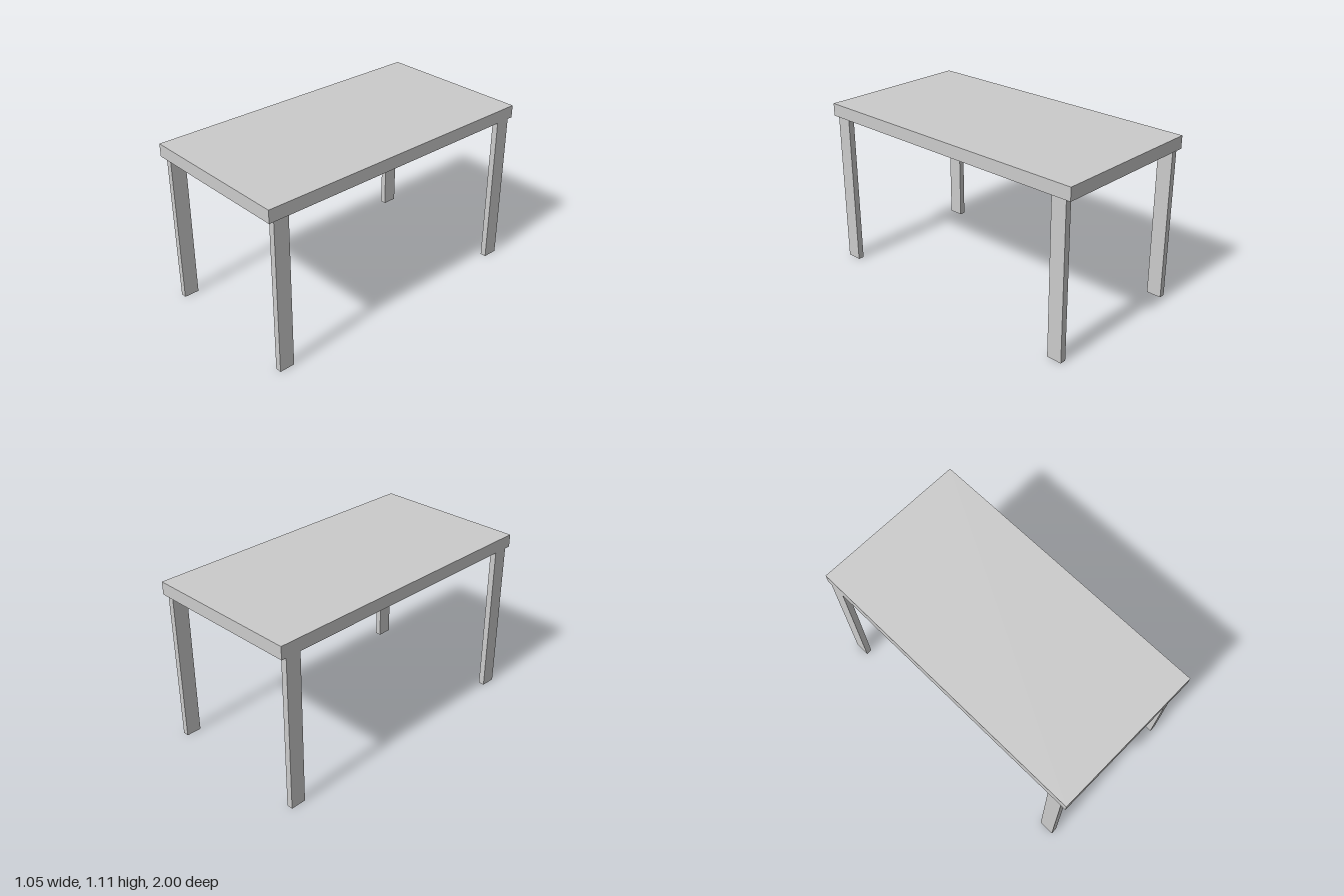
import * as THREE from 'three';

export function createModel() {
  const group = new THREE.Group();
  const material = new THREE.MeshStandardMaterial({ color: 0xcccccc, flatShading: true });

  const addBox = (name, w, h, d, x, y, z) => {
    const mesh = new THREE.Mesh(new THREE.BoxGeometry(w, h, d), material);
    mesh.name = name;
    mesh.position.set(x, y, z);
    group.add(mesh);
  };

  const legHeight = 1.026;
  const topThickness = 0.084;

  // Slab top
  addBox('tableTop', 1.05, topThickness, 2, 0, legHeight + topThickness / 2, 0);

  // Four flat legs, placed slightly unevenly near the corners
  const legs = [
    ['frontLeftLeg', 0.496, 0.912],
    ['frontRightLeg', -0.501, 0.912],
    ['backLeftLeg', 0.5, -0.917],
    ['backRightLeg', -0.505, -0.917],
  ];
  for (const [name, x, z] of legs) {
    addBox(name, 0.04, legHeight, 0.102, x, legHeight / 2, z);
  }

  return group;
}
